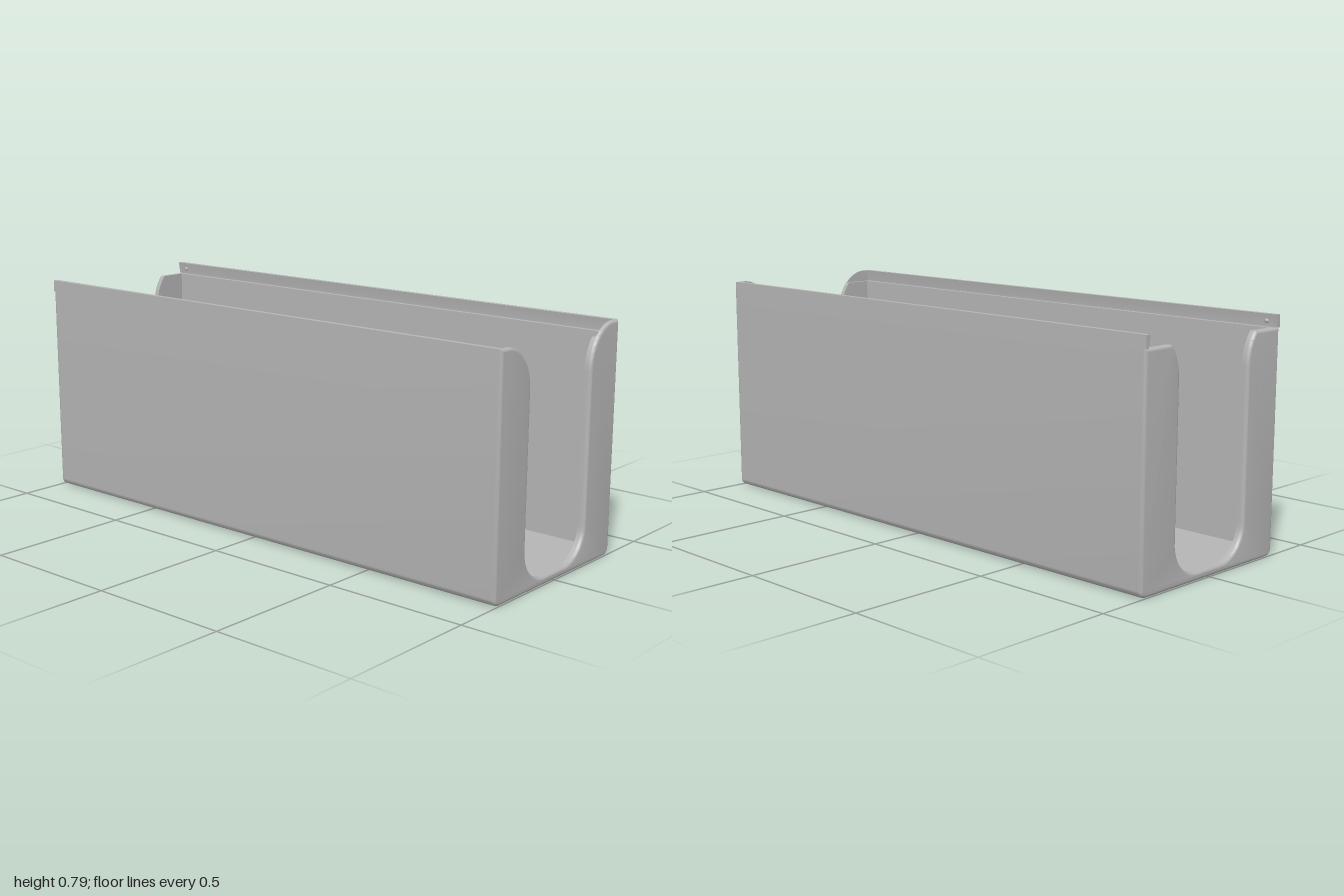
import * as THREE from 'three';
import { toCreasedNormals } from 'three/addons/utils/BufferGeometryUtils.js';

const W = 0.33, H = 0.787, LEDGE = 0.745; // half width, full height, lid groove floor
const END = 0.988, INNER = 0.975;         // where the end skins and end walls begin

const grey = new THREE.MeshStandardMaterial({ color: 0xb4b4b4 });
grey.name = 'grey plastic';

// Points along an elliptical arc, angles in degrees
function arc(cx, cy, rx, ry, from, to, n) {
  return Array.from({ length: n + 1 }, (_, i) => {
    const a = THREE.MathUtils.degToRad(from + (to - from) * i / n);
    return new THREE.Vector2(cx + rx * Math.cos(a), cy + ry * Math.sin(a));
  });
}

// Closed symmetric shape from its +x half
function symmetric(half) {
  const left = half.map(p => new THREE.Vector2(-p.x, p.y)).reverse();
  return new THREE.Shape([...half, ...left]);
}

const v = (x, y) => new THREE.Vector2(x, y);
const bottomCorner = () => arc(W - 0.025, 0.025, 0.025, 0.025, -90, 0, 8);

// Tray cross-section with an undercut groove under each rim
function trayShape() {
  return symmetric([
    ...bottomCorner(), v(W, H), v(0.312, H), v(0.318, 0.75), v(0.318, LEDGE),
    v(0.302, LEDGE), v(0.302, 0.025),
  ]);
}

// End wall with a deep U-shaped cutout and ears rounded towards the middle
function endShape(top) {
  const lift = THREE.MathUtils.radToDeg(Math.asin(Math.min(1, (top - 0.64) / 0.147)));
  return symmetric([
    ...bottomCorner(), v(W, top),
    ...arc(0.295, 0.64, 0.125, 0.147, 180 - lift, 180, 20),
    ...arc(0.06, 0.138, 0.11, 0.11, 0, -90, 16),
  ]);
}

// Extrude from z0 to z1; bevel rounds only the outer (z1) face
function slab(name, shape, z0, z1, bevel = 0) {
  const geo = new THREE.ExtrudeGeometry(shape, {
    depth: z1 - z0 - bevel, bevelEnabled: bevel > 0, bevelThickness: bevel,
    bevelSize: bevel, bevelOffset: -bevel, bevelSegments: 4,
  });
  const pos = geo.attributes.position;
  for (let i = 0; i < pos.count; i++) pos.setZ(i, Math.max(0, pos.getZ(i)) + z0);
  const mesh = new THREE.Mesh(toCreasedNormals(geo, 0.6), grey);
  mesh.name = name;
  return mesh;
}

function endWall(name, top) {
  const g = new THREE.Group();
  g.name = name;
  g.add(slab(name + 'Inner', endShape(LEDGE), INNER, END));
  g.add(slab(name + 'Skin', endShape(top), END, 1, 0.01));
  return g;
}

export function createModel() {
  const model = new THREE.Group();
  model.name = 'openTray';

  // Floor and long side walls
  model.add(slab('tray', trayShape(), -END, END));

  // Front is full height; back is cut low so a lid can slide in
  model.add(endWall('frontWall', H));
  const back = endWall('backWall', LEDGE);
  back.rotation.y = Math.PI;
  model.add(back);

  for (const s of [1, -1]) {
    // Rim ends running past the low back wall
    const lip = [v(0.318, LEDGE), v(W, LEDGE), v(W, H), v(0.312, H), v(0.318, 0.75)];
    const pts = lip.map(p => v(s * p.x, p.y));
    model.add(slab(s > 0 ? 'leftRimEnd' : 'rightRimEnd', new THREE.Shape(pts), -1, -END));

    // Small catch for the lid inside the groove
    const bump = new THREE.Mesh(new THREE.SphereGeometry(0.008, 16, 10), grey);
    bump.name = s > 0 ? 'leftCatch' : 'rightCatch';
    bump.position.set(s * 0.318, 0.764, -0.96);
    model.add(bump);
  }
  return model;
}
